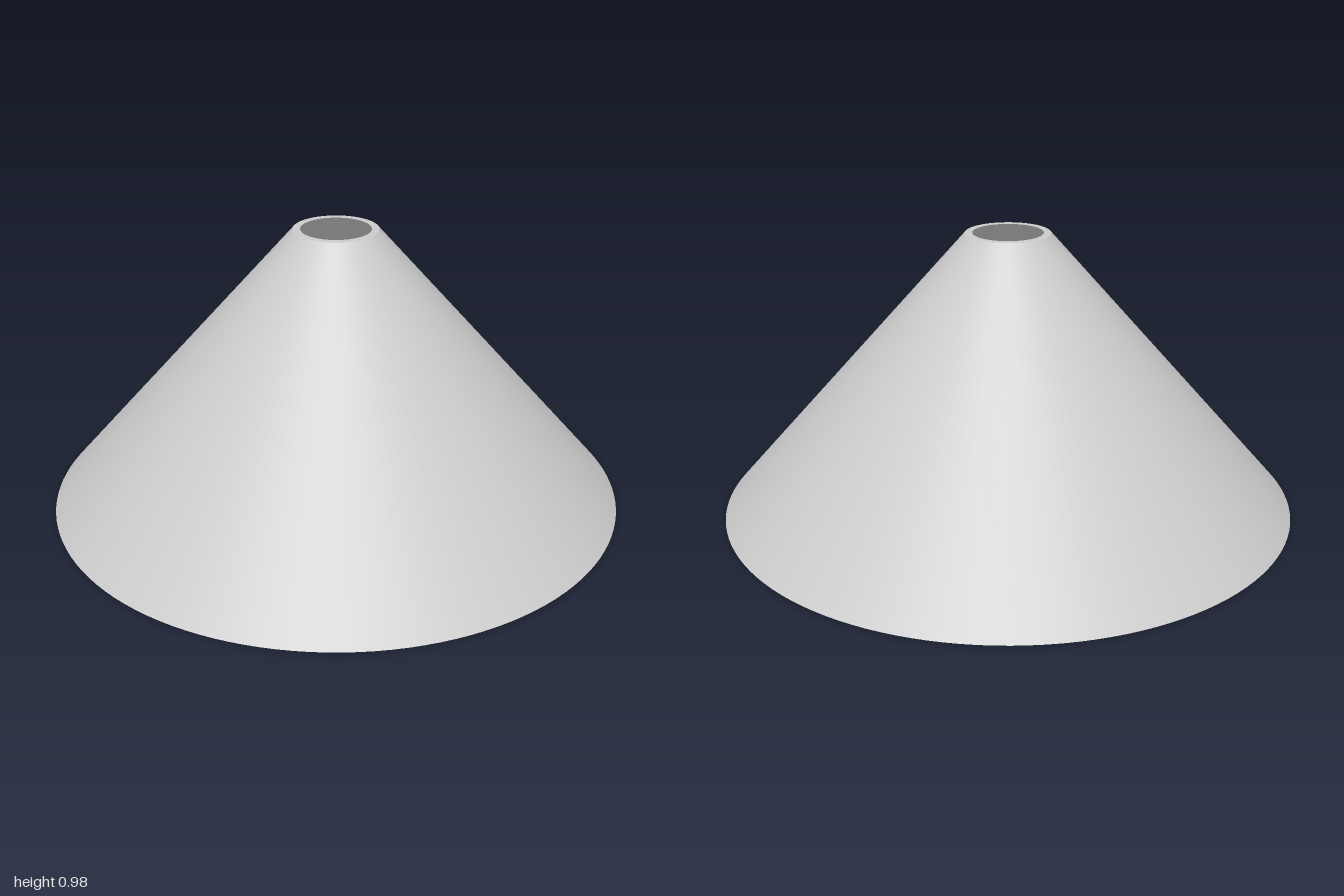
import * as THREE from 'three';
import { mergeGeometries } from 'three/addons/utils/BufferGeometryUtils.js';

export function createModel() {
  const group = new THREE.Group();
  group.name = 'conicalShade';
  const material = new THREE.MeshStandardMaterial({ color: 0xcccccc });

  // Closed wall section: outer bottom, outer top, inner top, inner bottom
  const section = [[1, 0.005], [0.145, 0.977], [0.12, 0.977], [0.958, 0]]
    .map(([r, y]) => new THREE.Vector2(r, y));

  // One lathe per side of the section keeps the rims sharp and the walls smooth
  const sides = section.map((p, i) =>
    new THREE.LatheGeometry([p, section[(i + 1) % section.length]], 128));

  const shade = new THREE.Mesh(mergeGeometries(sides), material);
  shade.name = 'shade';
  group.add(shade);
  return group;
}
